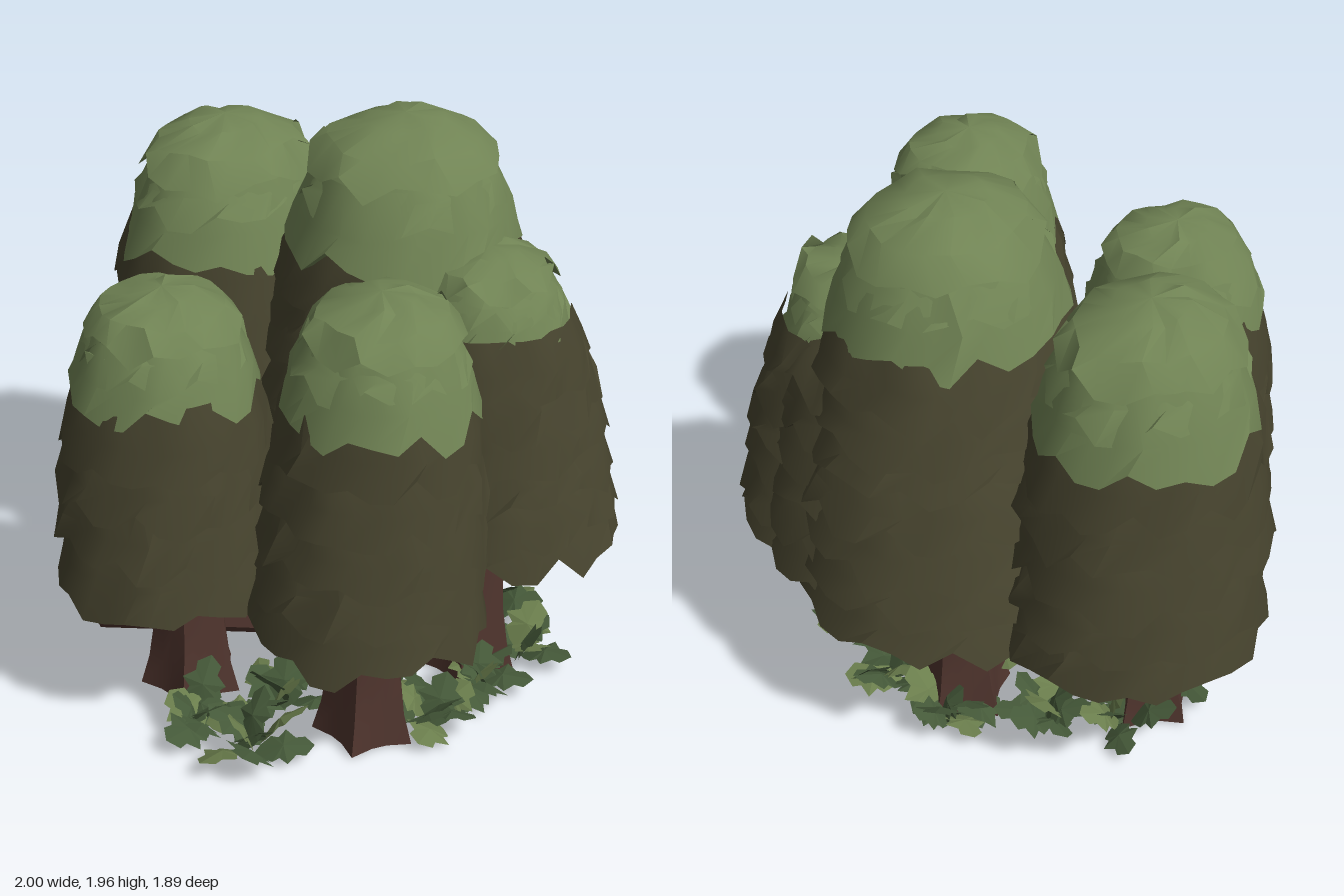
import * as THREE from 'three';
import { mergeGeometries, toCreasedNormals } from 'three/addons/utils/BufferGeometryUtils.js';

let seed = 7;
const rnd = () => {
  seed = (seed * 16807) % 2147483647;
  return seed / 2147483647;
};
const jit = (a) => (rnd() - 0.5) * 2 * a;

const mat = (name, color, side = THREE.FrontSide) => {
  const m = new THREE.MeshStandardMaterial({ color, side });
  m.name = name;
  return m;
};

// Skin closed rings of points, listed from top to bottom, with an outward-facing surface
function loft(rings, crease = 0.6) {
  const n = rings[0].length, pos = [], idx = [];
  rings.forEach((r) => r.forEach((p) => pos.push(...p)));
  for (let k = 0; k < rings.length - 1; k++) {
    for (let i = 0; i < n; i++) {
      const j = (i + 1) % n, a = k * n + i, b = k * n + j, c = a + n, d = b + n;
      idx.push(a, c, b, b, c, d);
    }
  }
  const g = new THREE.BufferGeometry();
  g.setAttribute('position', new THREE.Float32BufferAttribute(pos, 3));
  g.setIndex(idx);
  return toCreasedNormals(g, crease);
}

// One ragged skirt of foliage; centre(y) gives the leaning axis
function skirt(t, centre, yTop, yEdge, rTop, rEdge, n, closeTop) {
  const h = yTop - yEdge;
  const rows = closeTop
    ? [[yTop, 0], [yTop - h * 0.15, rEdge * 0.42], [yTop - h * 0.45, rEdge * 0.8]]
    : [[yTop, rTop], [yTop - h * 0.55, rTop * 0.3 + rEdge * 0.7]];
  rows.push([yEdge, rEdge], [yEdge + 0.035, rEdge * 0.86]);
  if (!closeTop) rows.push([yEdge + 0.09, 0]);
  const edge = closeTop ? 3 : 2;
  const lobe = [], wob = [], phase = rnd() * 6;
  for (let i = 0; i < n; i++) {
    const wave = Math.sin((i / n) * Math.PI * 8 + phase) * 0.014;
    lobe.push((i % 3 === 0 ? 0.03 : -0.014) + wave + jit(0.026));
    wob.push(jit(0.035));
  }
  const rings = rows.map(([y, r], k) => {
    const ring = [];
    for (let i = 0; i < n; i++) {
      const a = ((i + 0.5 * (k % 2)) / n) * Math.PI * 2 + phase;
      const rr = r * (1 + wob[i] + (k === edge ? 0.01 - lobe[i] * 0.6 : 0));
      const yy = y + (k >= edge && r > 0 ? lobe[i] : 0) + (k > 0 && k < edge ? jit(0.012) : 0);
      const [cx, cz] = centre(y);
      ring.push([cx + Math.sin(a) * rr * t.rx, yy, cz + Math.cos(a) * rr * t.rz]);
    }
    return ring;
  });
  return loft(rings);
}

// Ribbed trunk that spreads into roots at the ground
function trunkGeometry([x, z], r, yTop) {
  const rows = [[yTop, 1, 0], [0.5, 1, 0], [0.28, 1.06, 0.03], [0.13, 1.17, 0.1], [0.02, 1.32, 0.18], [0.02, 0, 0]];
  const n = 15, phase = rnd() * 6;
  return loft(rows.map(([y, s, root]) => {
    const ring = [];
    for (let i = 0; i < n; i++) {
      const a = (i / n) * Math.PI * 2 + phase;
      const rr = r * s * (1 + (i % 3 === 0 ? root + 0.06 : -root * 0.5 - 0.03));
      ring.push([x + Math.sin(a) * rr, y, z + Math.cos(a) * rr]);
    }
    return ring;
  }), 0.35);
}

// Jagged leaf blade, bent along its middle, growing along +z
function leafGeometry(length, width) {
  const side = [[0.4, 0.12], [0.75, 0.3], [0.6, 0.42], [1, 0.55], [0.5, 0.7], [0.55, 0.85]];
  const pos = [], tip = [0, length * 0.06, length];
  for (const s of [1, -1]) {
    const line = [[0, 0, 0], ...side.map(([w, l]) => [s * w * width, Math.sin(l * 3) * length * 0.1, l * length]), tip];
    const mid = [0, length * 0.16, length * 0.5];
    for (let i = 0; i < line.length - 1; i++) {
      const tri = s > 0 ? [line[i + 1], line[i], mid] : [line[i], line[i + 1], mid];
      tri.forEach((p) => pos.push(...p));
    }
  }
  const g = new THREE.BufferGeometry();
  g.setAttribute('position', new THREE.Float32BufferAttribute(pos, 3));
  g.computeVertexNormals();
  return g;
}

export function createModel() {
  seed = 7;
  const model = new THREE.Group();
  const bark = mat('bark brown', 0x50352e);
  const dark = mat('dark olive foliage', 0x45422d);
  const light = mat('light green foliage', 0x708354);
  const fern = mat('undergrowth green', 0x455939, THREE.DoubleSide);
  const fernLight = mat('light undergrowth green', 0x6a7d4c, THREE.DoubleSide);

  const add = (parent, name, geometry, material) => {
    const m = new THREE.Mesh(geometry, material);
    m.name = name;
    parent.add(m);
    return m;
  };

  // low / high: axis at the canopy bottom and at the crown; y0, yc, y1: bottom, crown edge, top
  const trees = [
    { name: 'leftBackTree', low: [-0.56, -0.21], high: [-0.57, -0.2], trunk: [-0.54, -0.1], rx: 0.42, rz: 0.47, y0: 0.55, yc: 1.37, y1: 1.81, tiers: 5, taper: 0.17, crown: 0.82 },
    { name: 'tallBackTree', low: [0.09, -0.41], high: [0.14, -0.32], trunk: [-0.01, -0.48], rx: 0.49, rz: 0.52, y0: 0.53, yc: 1.54, y1: 1.97, tiers: 7, taper: 0.2, crown: 0.77 },
    { name: 'smallBackTree', low: [0.56, -0.37], high: [0.5, -0.33], trunk: [0.55, -0.24], rx: 0.41, rz: 0.41, y0: 0.56, yc: 1.34, y1: 1.6, tiers: 6, taper: 0.24, crown: 0.69 },
    { name: 'rightFrontTree', low: [0.61, 0.38], high: [0.61, 0.34], trunk: [0.54, 0.3], rx: 0.38, rz: 0.38, y0: 0.56, yc: 1.34, y1: 1.72, tiers: 5, taper: 0.17, crown: 0.82 },
    { name: 'leftFrontTree', low: [-0.13, 0.55], high: [-0.15, 0.53], trunk: [-0.09, 0.5], rx: 0.385, rz: 0.385, y0: 0.52, yc: 1.2, y1: 1.55, tiers: 4, taper: 0.17, crown: 0.81 },
    // foliage joining the two right-hand back trees
    { name: 'joiningFoliage', low: [0.35, -0.42], high: [0.32, -0.38], rx: 0.42, rz: 0.43, y0: 0.56, yc: 1.42, tiers: 6, taper: 0.25 },
  ];
  for (const t of trees) {
    const g = new THREE.Group();
    g.name = t.name;
    model.add(g);
    const centre = (y) => {
      const k = THREE.MathUtils.clamp((y - t.y0) / (t.yc - t.y0), 0, 1);
      return [0, 1].map((i) => THREE.MathUtils.lerp(t.low[i], t.high[i], k));
    };
    // overlapping dark skirts
    const step = (t.yc - t.y0) / t.tiers, skirts = [];
    for (let i = 0; i < t.tiers; i++) {
      const y = t.y0 + i * step + (i ? jit(0.02) : 0), k = i / t.tiers, r = 1 - t.taper * k * k;
      const closed = !t.crown && i === t.tiers - 1;
      skirts.push(skirt(t, centre, y + step * 1.45, y, r * 0.82, r, 30, closed));
    }
    add(g, 'canopySkirts', mergeGeometries(skirts), dark);
    if (!t.crown) continue;
    add(g, 'trunk', trunkGeometry(t.trunk, 0.112, 0.75), bark);
    // pale crown: two skirts and an overhanging cap
    const h = t.y1 - t.yc, c = t.crown;
    add(g, 'crown', mergeGeometries([
      skirt(t, centre, t.yc + h * 0.62, t.yc, c * 0.74, c, 26, false),
      skirt(t, centre, t.yc + h * 0.78, t.yc + h * 0.33, c * 0.58, c * 0.9, 24, false),
      skirt(t, centre, t.y1, t.yc + h * 0.62, 0, c * 0.82, 20, true),
    ]), light);
  }

  // fallen log lying between the two left trees
  const from = new THREE.Vector3(-0.56, 0.1, 0.5), to = new THREE.Vector3(-0.05, 0.09, 0.1);
  const logGeometry = new THREE.CylinderGeometry(0.062, 0.078, from.distanceTo(to), 7).toNonIndexed();
  logGeometry.computeVertexNormals();
  const log = add(model, 'fallenLog', logGeometry, bark);
  log.position.copy(from).lerp(to, 0.5);
  log.quaternion.setFromUnitVectors(new THREE.Vector3(0, 1, 0), to.clone().sub(from).normalize());

  // broad-leaved undergrowth around the trunks
  const clumps = [
    [0.37, 0.66], [0.14, 0.7], [0.25, 0.42], [0.3, -0.02], [0.08, -0.04], [-0.57, 0.06], [0.7, -0.1],
    [0.68, -0.36], [0.45, -0.5], [0.2, -0.62], [-0.08, -0.62], [-0.33, -0.42], [-0.55, -0.28],
    [-0.25, -0.08], [0.05, -0.24], [0.32, -0.25], [0.7, 0.16], [0.42, 0.12],
  ];
  const leaves = [[], []];
  clumps.forEach(([x, z], c) => {
    for (let i = 0; i < 9; i++) {
      const leaf = leafGeometry(0.16 + rnd() * 0.06, 0.065 + rnd() * 0.03);
      leaf.rotateZ(jit(0.5));
      leaf.rotateX(-(i % 3) * 0.36 - 0.05 - rnd() * 0.2);
      leaf.rotateY((i / 9) * Math.PI * 2 + jit(0.3));
      leaf.translate(x + jit(0.04), 0.025 + rnd() * 0.03, z + jit(0.04));
      leaves[(i + c) % 4 === 0 ? 1 : 0].push(leaf);
    }
  });
  add(model, 'undergrowth', mergeGeometries(leaves[0]), fern);
  add(model, 'paleUndergrowth', mergeGeometries(leaves[1]), fernLight);
  return model;
}
